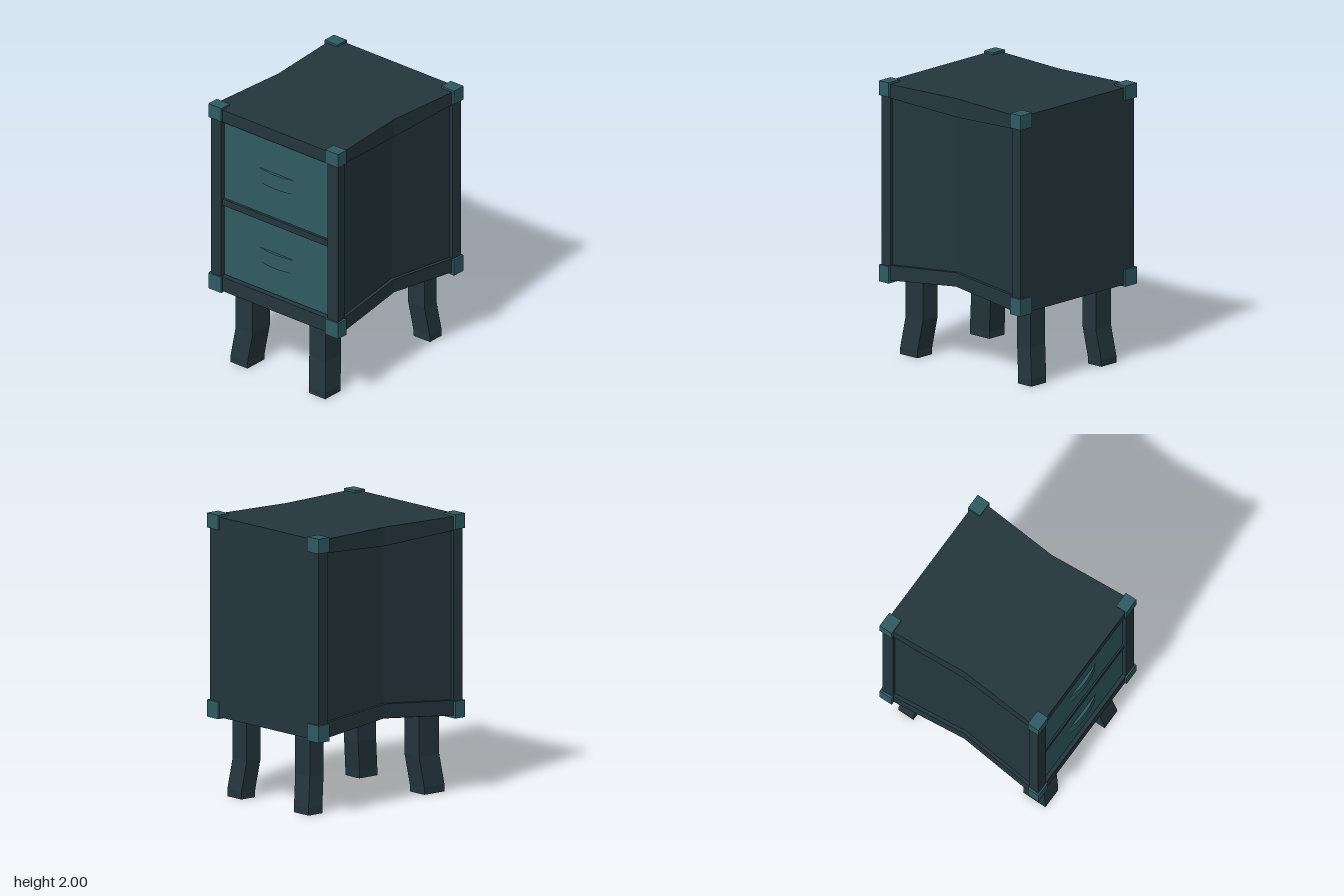
import * as THREE from 'three';

const DARK = new THREE.MeshStandardMaterial({ color: 0x24363d, flatShading: true });
DARK.name = 'dark slate wood';
const TEAL = new THREE.MeshStandardMaterial({ color: 0x2f5b62, flatShading: true });
TEAL.name = 'teal trim';

// Joins rings of [x, y, z] points, listed bottom to top and anticlockwise from above, and caps both ends.
function loft(rings) {
  const pos = [];
  const quad = (a, b, c, d) => pos.push(...a, ...b, ...c, ...a, ...c, ...d);
  const n = rings[0].length, low = rings[0], high = rings[rings.length - 1];
  for (let r = 0; r + 1 < rings.length; r++) {
    for (let i = 0; i < n; i++) {
      const j = (i + 1) % n;
      quad(rings[r][i], rings[r][j], rings[r + 1][j], rings[r + 1][i]);
    }
  }
  for (let i = 0; i < n / 2 - 1; i++) {
    quad(high[i], high[i + 1], high[n - 2 - i], high[n - 1 - i]);
    quad(low[n - 1 - i], low[n - 2 - i], low[i + 1], low[i]);
  }
  const geo = new THREE.BufferGeometry();
  geo.setAttribute('position', new THREE.Float32BufferAttribute(pos, 3));
  geo.computeVertexNormals();
  return geo;
}

// Six-point plan, pinched at x = 0 on front and back, with its own height at the pinch.
function pinched(x0, x1, zEnd, zMid, yEnd, yMid = yEnd) {
  return [[x0, yEnd, zEnd], [0, yMid, zMid], [x1, yEnd, zEnd],
    [x1, yEnd, -zEnd], [0, yMid, -zMid], [x0, yEnd, -zEnd]];
}

function rect(x0, x1, z0, z1, y) {
  return [[x0, y, z1], [x1, y, z1], [x1, y, z0], [x0, y, z0]];
}

export function createModel() {
  const model = new THREE.Group();
  model.name = 'nightstand';
  const add = (name, geo, mat) => {
    const mesh = new THREE.Mesh(geo, mat);
    mesh.name = name;
    model.add(mesh);
    return mesh;
  };
  const box = (name, x0, x1, y0, y1, z0, z1, mat) =>
    add(name, new THREE.BoxGeometry(x1 - x0, y1 - y0, z1 - z0), mat)
      .position.set((x0 + x1) / 2, (y0 + y1) / 2, (z0 + z1) / 2);

  // Cabinet: recessed core between an upper and a lower frame
  const L = -0.665, R = 0.66;
  add('cabinetCore', loft([
    pinched(-0.625, R, 0.555, 0.505, 0.64), pinched(-0.625, R, 0.555, 0.505, 1.93),
  ]), DARK);
  add('topFrame', loft([
    pinched(L, R, 0.58, 0.53, 1.89, 1.85), pinched(L, R, 0.58, 0.53, 1.985),
  ]), DARK);
  add('bottomFrame', loft([
    pinched(-0.41, 0.47, 0.13, 0.13, 0.545),
    pinched(-0.5, 0.52, 0.205, 0.205, 0.56),
    pinched(L, R, 0.58, 0.53, 0.56, 0.625),
    pinched(L, R, 0.58, 0.53, 0.67, 0.725),
  ]), DARK);

  // Corner stiles, following the pinched faces
  for (const s of [-1, 1]) {
    const x0 = s < 0 ? L : 0.575, x1 = s < 0 ? -0.585 : R;
    const z0 = s < 0 ? 0.58 : 0.574, z1 = s < 0 ? 0.574 : 0.58;
    const front = (y) => [[x0, y, z0], [x1, y, z1], [x1, y, 0.485], [x0, y, 0.485]];
    const back = (y) => [[x0, y, -0.485], [x1, y, -0.485], [x1, y, -z1], [x0, y, -z0]];
    add('frontStile', loft([front(0.62), front(1.93)]), DARK);
    add('backStile', loft([back(0.62), back(1.93)]), DARK);
  }

  // Two drawers on the -x side, each with a bowed pull
  const bow = new THREE.Shape();
  bow.moveTo(-0.165, 0);
  bow.lineTo(0.165, 0);
  bow.quadraticCurveTo(0, 0.05, -0.165, 0);
  const pull = new THREE.ExtrudeGeometry(bow, { depth: 0.11, bevelEnabled: false, curveSegments: 6 });
  pull.applyMatrix4(new THREE.Matrix4().makeBasis(
    new THREE.Vector3(0, 0, 1), new THREE.Vector3(-1, 0, 0), new THREE.Vector3(0, -1, 0)));
  for (const [y0, y1] of [[0.68, 1.22], [1.28, 1.87]]) {
    box('drawerFront', -0.638, -0.6, y0, y1, -0.478, 0.478, TEAL);
    add('drawerPull', pull, TEAL).position.set(-0.636, (y0 + y1) / 2 + 0.055, 0);
  }
  box('drawerRail', -0.65, -0.6, 1.225, 1.275, -0.485, 0.485, DARK);

  // Corner guards
  for (const sz of [-1, 1]) {
    for (const [x0, x1] of [[-0.677, -0.587], [0.573, 0.675]]) {
      for (const [y0, y1] of [[0.548, 0.67], [1.895, 2]]) {
        box('cornerGuard', x0, x1, y0, y1, Math.min(sz * 0.475, sz * 0.593), Math.max(sz * 0.475, sz * 0.593), TEAL);
      }
    }
  }

  // Legs: straight at the top, kicked outwards below the knee
  for (const sz of [-1, 1]) {
    for (const [sx, x0, x1] of [[-1, -0.595, sz > 0 ? -0.43 : -0.41], [1, 0.47, 0.597]]) {
      const z0 = sz > 0 ? 0.26 : -0.412, z1 = sz > 0 ? 0.41 : -0.257;
      const ring = (y, k) => rect(x0 + sx * 0.03 * k, x1 + sx * 0.03 * k, z0 + sz * 0.022 * k, z1 + sz * 0.022 * k, y);
      add(sz > 0 ? 'frontLeg' : 'backLeg', loft([ring(0, 1), ring(0.05, 1), ring(0.27, 0), ring(0.58, 0)]), DARK);
    }
  }
  return model;
}
